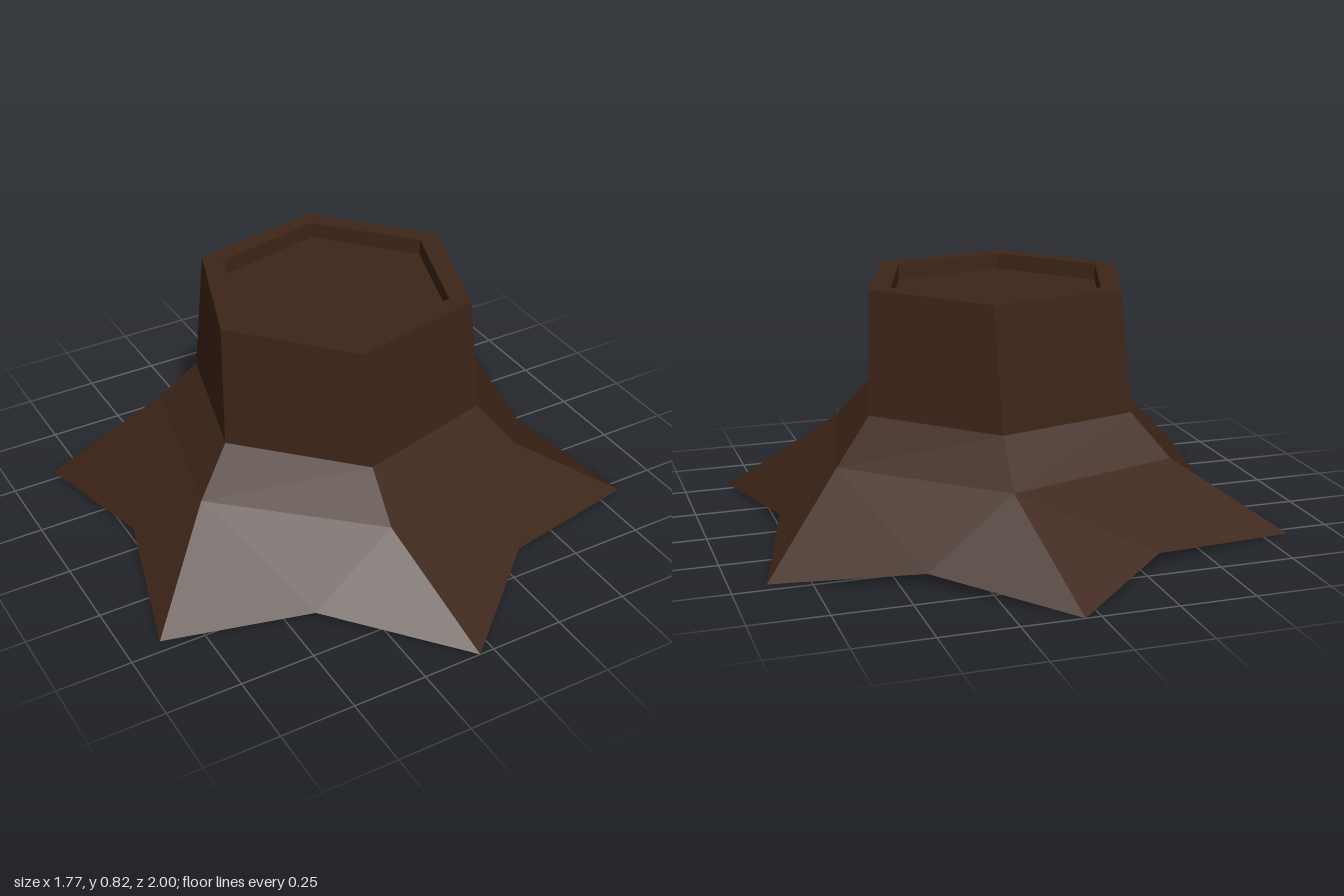
import * as THREE from 'three';

// Six-point ring: three [x, z] corners, then the same three turned half a circle
const ring = (y, pts) => [...pts, ...pts.map(([x, z]) => [-x, -z])]
  .map(([x, z]) => new THREE.Vector3(x, y, z));

export function createModel() {
  const bark = new THREE.MeshStandardMaterial({ color: 0x3e2518 });
  bark.name = 'dark brown bark';
  const wood = new THREE.MeshStandardMaterial({ color: 0x89684b });
  wood.name = 'bare tan wood';
  const group = new THREE.Group();
  group.name = 'treeStump';

  const tips = ring(0, [[0.05, -1], [0.885, -0.455], [0.84, 0.54]]);
  const valleys = ring(0.04, [[0.42, -0.62], [0.745, 0.055], [0.32, 0.675]]);
  const flare = ring(0.265, [[0.14, -0.61], [0.6, -0.19], [0.46, 0.425]]);
  const neck = ring(0.41, [[0.13, -0.475], [0.475, -0.125], [0.35, 0.35]]);
  const rimOuter = ring(0.82, [[0.15, -0.44], [0.46, -0.095], [0.31, 0.345]]);
  const rimInner = ring(0.82, [[0.125, -0.375], [0.385, -0.085], [0.26, 0.29]]);
  const floor = rimInner.map((p) => p.clone().setY(0.765));

  // Each panel is a fan around its first corner, shaded as one flat face
  const addMesh = (name, panels, material = bark) => {
    const position = [];
    const normal = [];
    for (const [a, ...rest] of panels) {
      const n = new THREE.Vector3();
      for (let i = 0; i + 1 < rest.length; i++) {
        const [b, c] = [rest[i], rest[i + 1]];
        n.add(b.clone().sub(a).cross(c.clone().sub(a)));
        position.push(...a, ...b, ...c);
      }
      n.normalize();
      for (let i = 0; i < (rest.length - 1) * 3; i++) normal.push(...n);
    }
    const g = new THREE.BufferGeometry();
    g.setAttribute('position', new THREE.Float32BufferAttribute(position, 3));
    g.setAttribute('normal', new THREE.Float32BufferAttribute(normal, 3));
    const mesh = new THREE.Mesh(g, material);
    mesh.name = name;
    group.add(mesh);
  };
  // Band of four-sided panels joining two rings
  const band = (a, b) => a.map((p, i) => {
    const j = (i + 1) % a.length;
    return [a[j], p, b[i], b[j]];
  });

  // Spreading roots: each side dips to a valley between two tips
  addMesh('roots', tips.map((tip, i) => {
    const j = (i + 1) % 6;
    return [valleys[i], tip, flare[i], flare[j], tips[j]];
  }));
  addMesh('rootFlare', band(flare, neck));
  addMesh('trunk', band(neck, rimOuter));

  // Bark rim around the sunken cut face
  addMesh('rim', [...band(rimOuter, rimInner), ...band(rimInner, floor)]);
  addMesh('cutFace', [[...floor].reverse()]);

  // Star-shaped underside, folded along a line between the front and back tips
  const s = tips.flatMap((tip, i) => [tip, valleys[i]]);
  const inner = new THREE.Vector3(-0.35, 0.035, -0.2);
  const edgeA = s[8].clone().lerp(s[7], 0.5);
  const edgeB = s[8].clone().lerp(s[9], 0.5);
  addMesh('underside', [
    [s[6], s[0], s[1], s[2], s[3], s[5]],
    [s[3], s[4], s[5]],
    [inner, s[11], s[0], s[6], s[7], s[9]],
    [s[7], edgeA, edgeB, s[9]],
  ]);
  // Bare wood under two of the roots
  addMesh('bareRootUndersides', [
    [inner, s[9], s[10], s[11]],
    [edgeA, s[8], edgeB],
  ], wood);

  return group;
}
